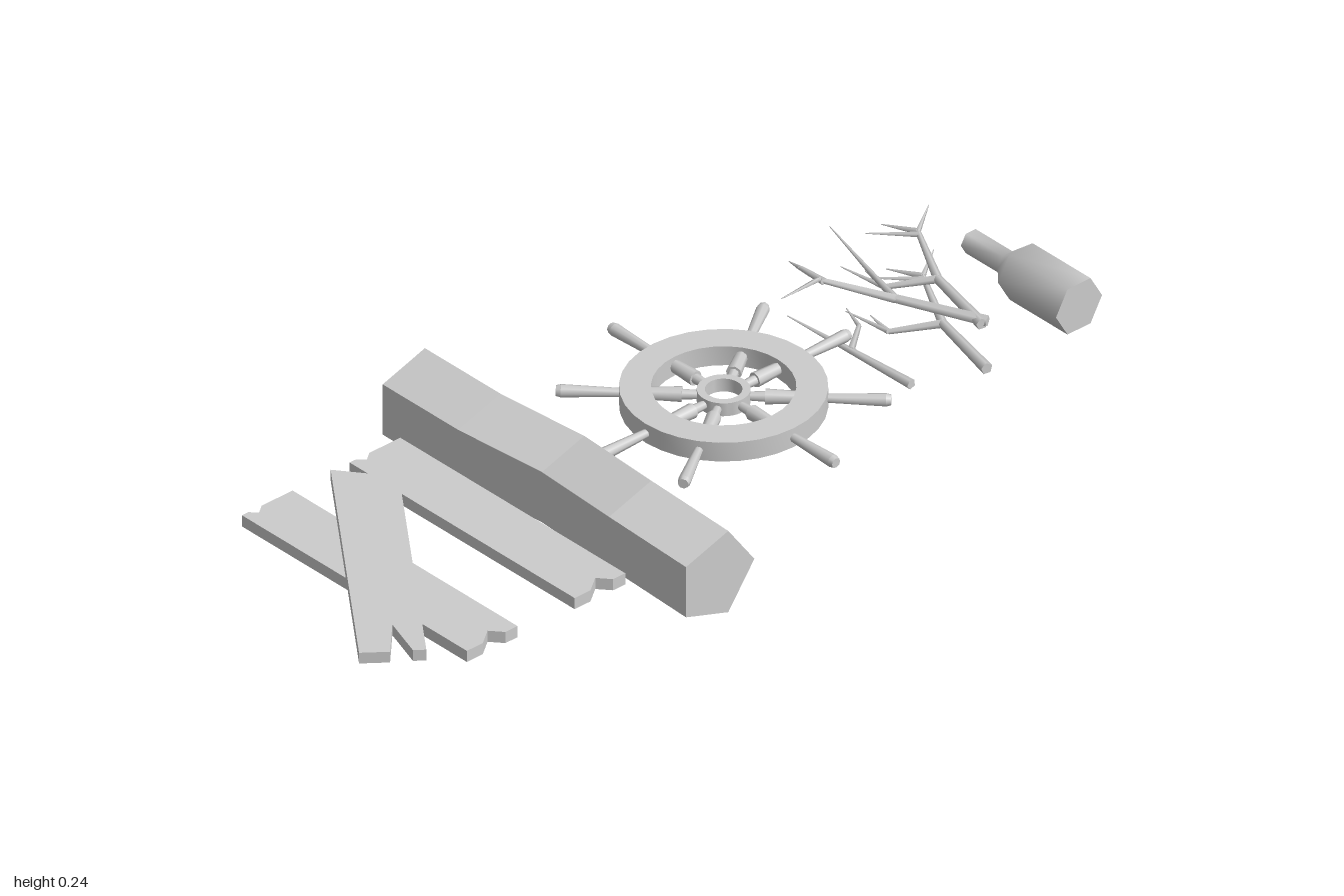
import * as THREE from 'three';
import { toCreasedNormals } from 'three/addons/utils/BufferGeometryUtils.js';

const UP = new THREE.Vector3(0, 1, 0);
const grey = new THREE.MeshStandardMaterial({ color: 0xcccccc });

function part(name, geometry, parent) {
  const mesh = new THREE.Mesh(geometry, grey);
  mesh.name = name;
  parent.add(mesh);
  return mesh;
}

function group(name, parent) {
  const g = new THREE.Group();
  g.name = name;
  parent.add(g);
  return g;
}

// Tapered rod between two points
function rod(name, a, b, ra, rb, sides, parent) {
  const from = new THREE.Vector3(...a), to = new THREE.Vector3(...b);
  const dir = to.clone().sub(from);
  const geo = new THREE.CylinderGeometry(rb, ra, dir.length(), sides);
  const mesh = part(name, geo, parent);
  mesh.position.copy(from).add(to).multiplyScalar(0.5);
  mesh.quaternion.setFromUnitVectors(UP, dir.normalize());
}

// Slab with an outline in (x, z), its top at the given height
function slab(points, top, thickness) {
  const shape = new THREE.Shape(points.map(p => new THREE.Vector2(...p)));
  const geo = new THREE.ExtrudeGeometry(shape, { depth: thickness, bevelEnabled: false });
  return geo.rotateX(Math.PI / 2).translate(0, top, 0);
}

// Flat ring centred on the origin
function ring(outer, inner, height) {
  const shape = new THREE.Shape().absarc(0, 0, outer, 0, Math.PI * 2);
  shape.holes.push(new THREE.Path().absarc(0, 0, inner, 0, Math.PI * 2, true));
  const geo = new THREE.ExtrudeGeometry(shape, { depth: height, bevelEnabled: false, curveSegments: 16 });
  return toCreasedNormals(geo.rotateX(Math.PI / 2).translate(0, height / 2, 0), 0.6);
}

function addPlanks(model) {
  const planks = group('planks', model);
  // Two parallel boards with chipped ends
  for (const z of [0.455, 0.74]) {
    const outline = [
      [-0.33, -0.067], [0.33, -0.067], [0.33, -0.035], [0.303, -0.012], [0.33, 0.025],
      [0.33, 0.067], [-0.33, 0.067], [-0.33, 0.05], [-0.315, 0.035], [-0.33, 0.015],
    ];
    part('lowerPlank', slab(outline, 0.112, 0.026), planks).position.z = z;
  }
  // Split board lying across the top
  part('crossPlank', slab([
    [-0.222, 0.492], [0.302, 0.889], [0.286, 0.91], [0.19, 0.878],
    [0.26, 0.947], [0.222, 0.995], [-0.307, 0.593], [-0.238, 0.54],
  ], 0.137, 0.025), planks);
}

function addBeam(model) {
  // Five-sided beam, bent by shifting its cross-sections
  const bend = [[0, 0], [0, 0], [0, -0.02], [0.012, 0.003], [0, 0]];
  let geo = new THREE.CylinderGeometry(0.1, 0.1, 0.89, 5, 4, false, Math.PI).rotateZ(-Math.PI / 2);
  const pos = geo.attributes.position;
  for (let i = 0; i < pos.count; i++) {
    const [dy, dz] = bend[Math.round((pos.getX(i) + 0.445) / 0.2225)];
    pos.setY(i, pos.getY(i) + dy);
    pos.setZ(i, pos.getZ(i) + dz);
  }
  geo = geo.toNonIndexed();
  geo.computeVertexNormals();
  part('bentBeam', geo, model).position.set(0, 0.098, 0.25);
}

function addWheel(model) {
  const wheel = group('steeringWheel', model);
  wheel.position.set(0, 0.128, -0.17);
  part('rim', ring(0.206, 0.143, 0.044), wheel);
  part('hub', ring(0.053, 0.037, 0.03), wheel);
  // Spokes and handles; one diagonal pair is slightly off the even spacing
  for (const degrees of [0, 45, 90, 146, 180, 225, 270, 326]) {
    const a = THREE.MathUtils.degToRad(degrees);
    const at = r => [Math.sin(a) * r, 0, -Math.cos(a) * r];
    rod('spokeNeck', at(0.045), at(0.085), 0.009, 0.011, 8, wheel);
    rod('spoke', at(0.082), at(0.15), 0.016, 0.013, 8, wheel);
    rod('handle', at(0.2), at(0.32), 0.009, 0.0135, 8, wheel);
    rod('handleEnd', at(0.32), at(0.33), 0.0135, 0.011, 8, wheel);
  }
}

// Twig of tapered joints running through its points
function twig(points, r0, r1, parent) {
  const n = points.length - 1;
  const r = i => r0 + (r1 - r0) * (i / n) ** 1.3;
  for (let i = 0; i < n; i++) rod('twig', points[i], points[i + 1], r(i), r(i + 1), 5, parent);
}

function addBranches(model) {
  const branches = group('branches', model);
  // Forked branch, one above the other
  for (const [y, dz] of [[0.19, 0.005], [0.08, -0.008]]) {
    const b = group('forkedBranch', branches);
    b.position.set(0, y, dz);
    twig([[0.22, 0, -0.66], [0.04, 0, -0.705], [-0.09, 0.02, -0.77], [-0.13, 0.035, -0.835]], 0.013, 0.001, b);
    twig([[0.04, 0, -0.705], [-0.03, -0.018, -0.625], [-0.15, -0.026, -0.62]], 0.009, 0.001, b);
    twig([[-0.03, -0.018, -0.625], [-0.1, -0.02, -0.64]], 0.006, 0.001, b);
    twig([[-0.09, 0.02, -0.77], [-0.18, 0.0, -0.755]], 0.007, 0.001, b);
    twig([[-0.08, 0.02, -0.765], [-0.165, 0.01, -0.70]], 0.006, 0.001, b);
  }
  // Tall arched branch
  const arch = group('archedBranch', branches);
  twig([[0.22, 0.19, -0.67], [0.05, 0.2, -0.58], [-0.06, 0.238, -0.475], [-0.075, 0.222, -0.39]], 0.012, 0.001, arch);
  twig([[-0.05, 0.236, -0.48], [-0.13, 0.225, -0.49], [-0.185, 0.205, -0.51]], 0.008, 0.001, arch);
  twig([[0.05, 0.2, -0.58], [-0.06, 0.185, -0.62], [-0.265, 0.17, -0.69]], 0.009, 0.001, arch);
  // Low straight branch
  const low = group('lowBranch', branches);
  twig([[0.165, 0.082, -0.518], [-0.016, 0.078, -0.515], [-0.19, 0.075, -0.51]], 0.011, 0.001, low);
  twig([[-0.01, 0.078, -0.515], [-0.08, 0.066, -0.6], [-0.15, 0.06, -0.63]], 0.008, 0.001, low);
}

function addBottle(model) {
  // Six-sided bottle lying on its side, neck towards -x
  const profile = [[0, -0.19], [0.061, -0.19], [0.061, -0.02], [0.026, 0.02], [0.026, 0.128], [0, 0.128]];
  const geo = new THREE.LatheGeometry(profile.map(p => new THREE.Vector2(...p)), 6);
  geo.rotateZ(Math.PI / 2);
  part('bottle', toCreasedNormals(geo, 1.2), model).position.set(0, 0.094, -0.939);
}

export function createModel() {
  const model = new THREE.Group();
  model.name = 'driftwoodAndWreckage';
  addPlanks(model);
  addBeam(model);
  addWheel(model);
  addBranches(model);
  addBottle(model);
  return model;
}
